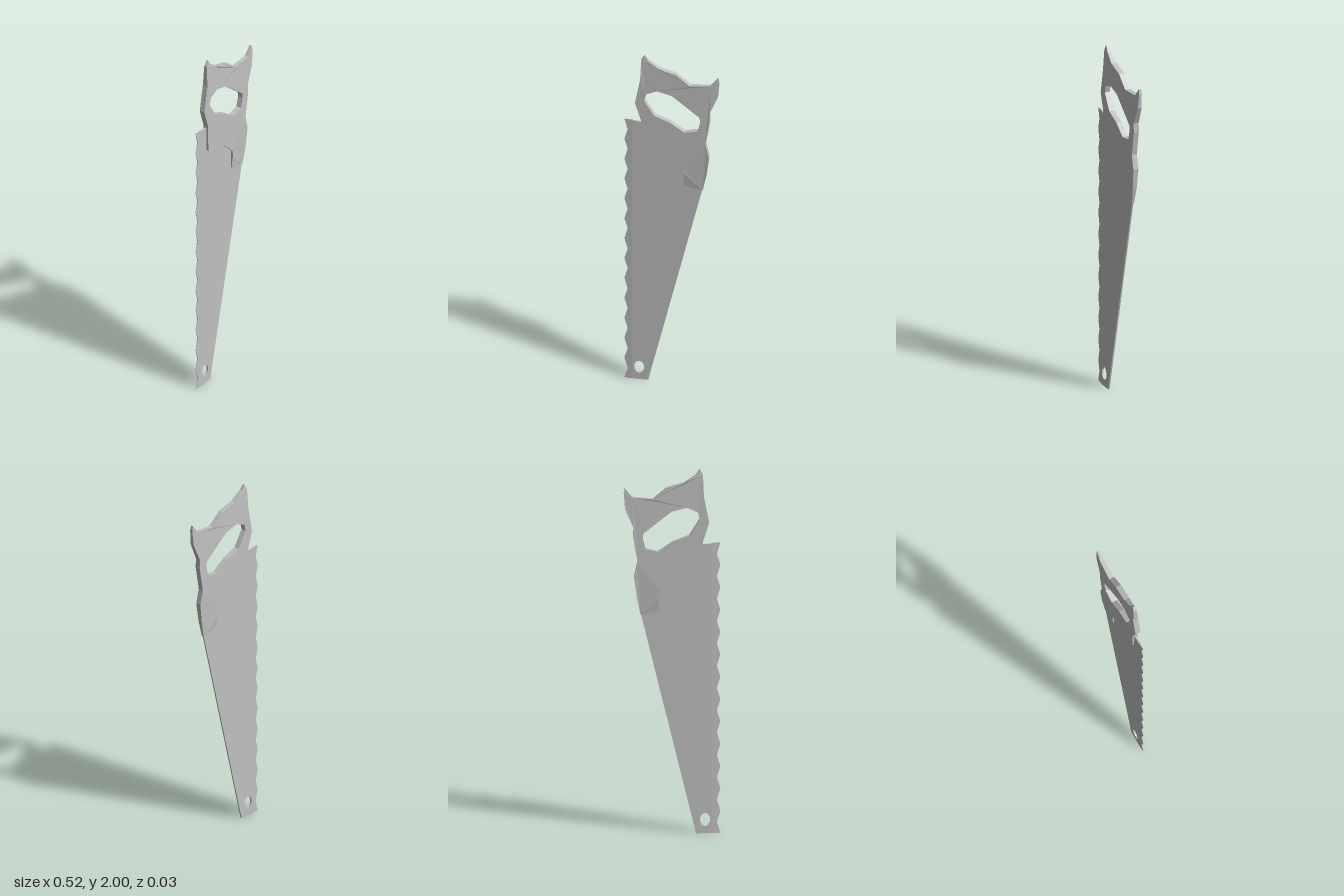
import * as THREE from 'three';

const steel = new THREE.MeshStandardMaterial({ color: 0xc0c0c0 });
steel.name = 'grey';

const toVectors = (points) => points.map(([x, y]) => new THREE.Vector2(x, y));

// Flat plate centred on z = 0
function plate(outline, hole, halfThickness) {
  const shape = new THREE.Shape(toVectors(outline));
  shape.holes.push(new THREE.Path(toVectors(hole)));
  const geometry = new THREE.ExtrudeGeometry(shape, { depth: halfThickness * 2, bevelEnabled: false });
  return geometry.translate(0, 0, -halfThickness);
}

// Grip outline: x, y and half thickness where it narrows
const GRIP = 0.015;
const gripOutline = [
  [-0.15, 2.0, 0.006], [-0.167, 1.97, 0.009], [-0.172, 1.85], [-0.2, 1.705], [-0.166, 1.6],
  [-0.163, 1.447], [-0.013, 1.405], [0.063, 1.335], [0.065, 1.3], [0.065, 1.222, 0.006],
  [0.167, 1.2, 0.006], [0.188, 1.3, 0.012], [0.202, 1.41], [0.183, 1.49], [0.207, 1.63],
  [0.205, 1.68], [0.25, 1.785, 0.011], [0.257, 1.87, 0.008], [0.251, 1.897, 0.007],
  [0.212, 1.848, 0.011], [0.1, 1.838], [0.025, 1.9], [-0.07, 1.927], [-0.13, 1.97, 0.009],
];
const gripHole = [
  [-0.15, 1.725], [-0.14, 1.765], [-0.08, 1.79], [0, 1.77], [0.07, 1.715], [0.152, 1.65],
  [0.155, 1.62], [0.14, 1.565], [0.07, 1.55], [-0.01, 1.605], [-0.095, 1.637],
];

function gripGeometry() {
  const geometry = plate(gripOutline, gripHole, GRIP);
  const pos = geometry.attributes.position;
  for (let i = 0; i < pos.count; i++) {
    const match = gripOutline.find(([x, y]) => Math.hypot(x - pos.getX(i), y - pos.getY(i)) < 1e-4);
    if (match && match[2]) pos.setZ(i, Math.sign(pos.getZ(i)) * match[2]);
  }
  geometry.computeVertexNormals();
  return geometry;
}

const BLADE = 0.004;
const TOOTH_ROOT = -0.215;
const TEETH = 13;
const BLADE_TOP = 1.595;

// Blade body with its hanging hole
function bladeGeometry() {
  const hole = [];
  for (let i = 0; i < 10; i++) {
    const a = (i / 10) * Math.PI * 2 + Math.PI / 10;
    hole.push([-0.179 + Math.cos(a) * 0.028, 0.075 + Math.sin(a) * 0.037]);
  }
  const outline = [
    [TOOTH_ROOT, 0], [-0.13, 0], [0.166, 1.21], [0.1, 1.31], [-0.1, 1.5],
    [-0.155, 1.587], [TOOTH_ROOT, BLADE_TOP - 0.004],
  ];
  return plate(outline, hole, BLADE);
}

// Toothed strip, ground thin toward the cutting edge
function teethGeometry() {
  const vertices = [];
  const quad = (a, b, c, d) => vertices.push(...a, ...b, ...c, ...a, ...c, ...d);
  const section = (i) => {
    const tip = i % 2 === 0;
    const y = (i / (TEETH * 2)) * BLADE_TOP;
    const x = tip ? -0.26 : -0.242;
    const z = tip ? 0.0005 : 0.0022;
    return {
      front: [TOOTH_ROOT, y, BLADE], back: [TOOTH_ROOT, y, -BLADE],
      edgeFront: [x, y, z], edgeBack: [x, y, -z],
    };
  };
  for (let i = 0; i < TEETH * 2; i++) {
    const a = section(i), b = section(i + 1);
    quad(a.edgeFront, a.front, b.front, b.edgeFront);
    quad(a.back, a.edgeBack, b.edgeBack, b.back);
    quad(a.edgeBack, a.edgeFront, b.edgeFront, b.edgeBack);
  }
  // End caps
  const low = section(0), high = section(TEETH * 2);
  quad(low.edgeBack, low.back, low.front, low.edgeFront);
  quad(high.edgeFront, high.front, high.back, high.edgeBack);
  const geometry = new THREE.BufferGeometry();
  geometry.setAttribute('position', new THREE.Float32BufferAttribute(vertices, 3));
  geometry.computeVertexNormals();
  return geometry;
}

export function createModel() {
  const saw = new THREE.Group();
  saw.name = 'handSaw';
  const add = (name, geometry) => {
    const mesh = new THREE.Mesh(geometry, steel);
    mesh.name = name;
    saw.add(mesh);
  };
  add('handle', gripGeometry());
  add('blade', bladeGeometry());
  add('teeth', teethGeometry());
  return saw;
}
